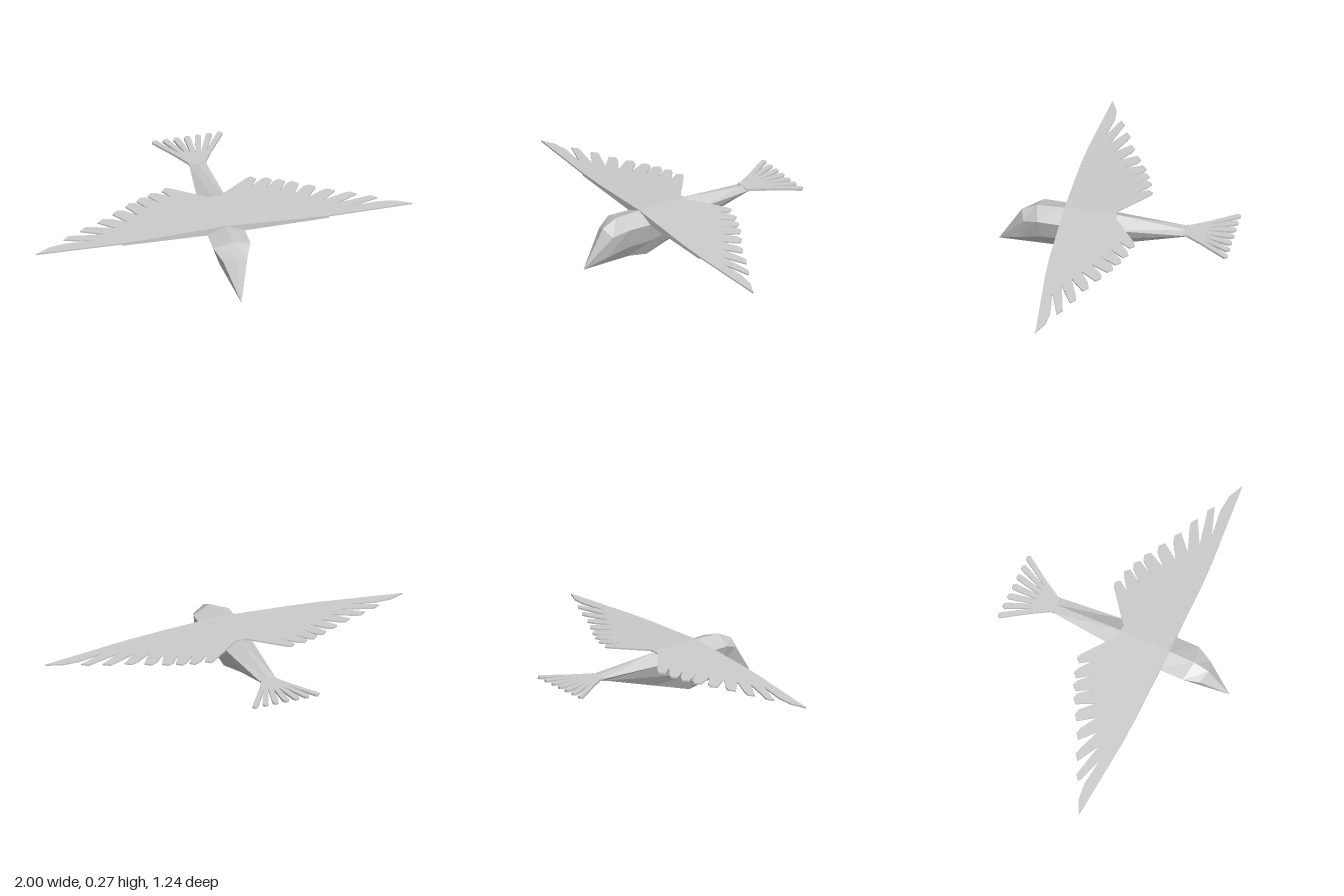
import * as THREE from 'three';

const material = new THREE.MeshStandardMaterial({ color: 0xcccccc, flatShading: true });

function addMesh(group, name, geometry) {
  const mesh = new THREE.Mesh(geometry, material);
  mesh.name = name;
  group.add(mesh);
}

// Joins rings of [x, y, z] points into a closed, faceted skin
function loft(rings) {
  const out = [];
  const tri = (a, b, c) => out.push(...a, ...b, ...c);
  const n = rings[0].length;
  for (let i = 0; i < rings.length - 1; i++) {
    for (let j = 0; j < n; j++) {
      const k = (j + 1) % n;
      const [a, b, c, d] = [rings[i][j], rings[i][k], rings[i + 1][k], rings[i + 1][j]];
      tri(a, b, d);
      tri(b, c, d);
    }
  }
  const first = rings[0], last = rings[rings.length - 1];
  for (let j = 1; j < n - 1; j++) {
    tri(first[0], first[j + 1], first[j]);
    tri(last[0], last[j], last[j + 1]);
  }
  const geometry = new THREE.BufferGeometry();
  geometry.setAttribute('position', new THREE.Float32BufferAttribute(out, 3));
  geometry.computeVertexNormals();
  return geometry;
}

// Flat plate from an [x, z] outline, its underside at y = 0
function plate(outline, thickness) {
  const shape = new THREE.Shape(outline.map(([x, z]) => new THREE.Vector2(x, -z)));
  return new THREE.ExtrudeGeometry(shape, { depth: thickness, bevelEnabled: false }).rotateX(-Math.PI / 2);
}

// Six-sided body ring: ridge, shoulder, flank, keel, then the mirrored side
function bodyRing([ridge, shoulder, flank, keel]) {
  const mirror = ([x, y, z]) => [-x, y, z];
  return [[0, ...ridge], shoulder, flank, [0, ...keel], mirror(flank), mirror(shoulder)];
}

function bodyGeometry() {
  const tip = [0, 0.02, 0.62];
  return loft([
    [[0.02, 0.62], tip, tip, [0.02, 0.62]],
    [[0.225, 0.5], [0.065, 0.195, 0.48], [0.03, 0.064, 0.5], [0.02, 0.48]],
    [[0.265, 0.42], [0.1, 0.23, 0.4], [0.06, 0.108, 0.38], [0.02, 0.34]],
    [[0.267, 0.28], [0.1, 0.225, 0.25], [0.06, 0.108, 0.23], [0, 0.23]],
    [[0.264, 0], [0.08, 0.218, 0], [0.048, 0.143, 0], [0.076, 0]],
    [[0.222, -0.37], [0.045, 0.215, -0.37], [0.03, 0.2, -0.37], [0.198, -0.37]],
  ].map(bodyRing));
}

// Wing plate with a feathered trailing edge, sloping down to the tip
function wingGeometry(side) {
  const outline = [[0, 0], [0, 0.275], [0.4, 0.272], [0.55, 0.265], [1, 0.225], [0.92, 0.188], [0.83, 0.18]];
  const tips = [[0.835, 0.145], [0.735, 0.095], [0.63, 0.05], [0.54, 0],
    [0.46, -0.045], [0.395, -0.075], [0.33, -0.1], [0.25, -0.12]];
  tips.forEach(([x, z], k) => {
    const t = k / 7, s = 1 - 0.4 * t;
    outline.push([0.68 - 0.47 * t, 0.2 - 0.26 * t]);
    outline.push([x, z], [x - 0.035 * s, z - 0.025], [x - 0.075 * s, z - 0.015]);
  });
  outline.push([0.03, 0]);
  const geometry = plate(outline.map(([x, z]) => [side * x, z]), 0.008);
  const p = geometry.attributes.position;
  for (let i = 0; i < p.count; i++) p.setY(i, p.getY(i) + 0.26 - 0.05 * Math.abs(p.getX(i)));
  geometry.computeVertexNormals();
  return geometry;
}

// Thick wedge under the front of both wings
function wingCoreGeometry() {
  const ring = (x, top, bottom, front, back) =>
    [[x, top, back], [x, top, front], [x, bottom, front], [x, bottom, back]];
  return loft([
    ring(-0.55, 0.236, 0.223, 0.263, 0.255),
    ring(0, 0.263, 0.221, 0.273, 0.04),
    ring(0.55, 0.236, 0.223, 0.263, 0.255),
  ]);
}

// Fan of seven tail feathers
function tailGeometry() {
  const outline = [[0.045, -0.365], [-0.045, -0.365], [-0.045, -0.38], [-0.098, -0.47]];
  for (let i = -3; i <= 3; i++) {
    const x = i * 0.057;
    outline.push([x - 0.017, -0.605], [x - 0.008, -0.62], [x + 0.008, -0.62], [x + 0.017, -0.605]);
    outline.push([i < 3 ? (i + 0.5) * 0.027 : 0.098, -0.47]);
  }
  outline.push([0.045, -0.38]);
  return plate(outline, 0.013).translate(0, 0.209, 0);
}

export function createModel() {
  const group = new THREE.Group();
  group.name = 'bird';
  addMesh(group, 'body', bodyGeometry());
  addMesh(group, 'leftWing', wingGeometry(1));
  addMesh(group, 'rightWing', wingGeometry(-1));
  addMesh(group, 'wingCore', wingCoreGeometry());
  addMesh(group, 'tail', tailGeometry());
  return group;
}
